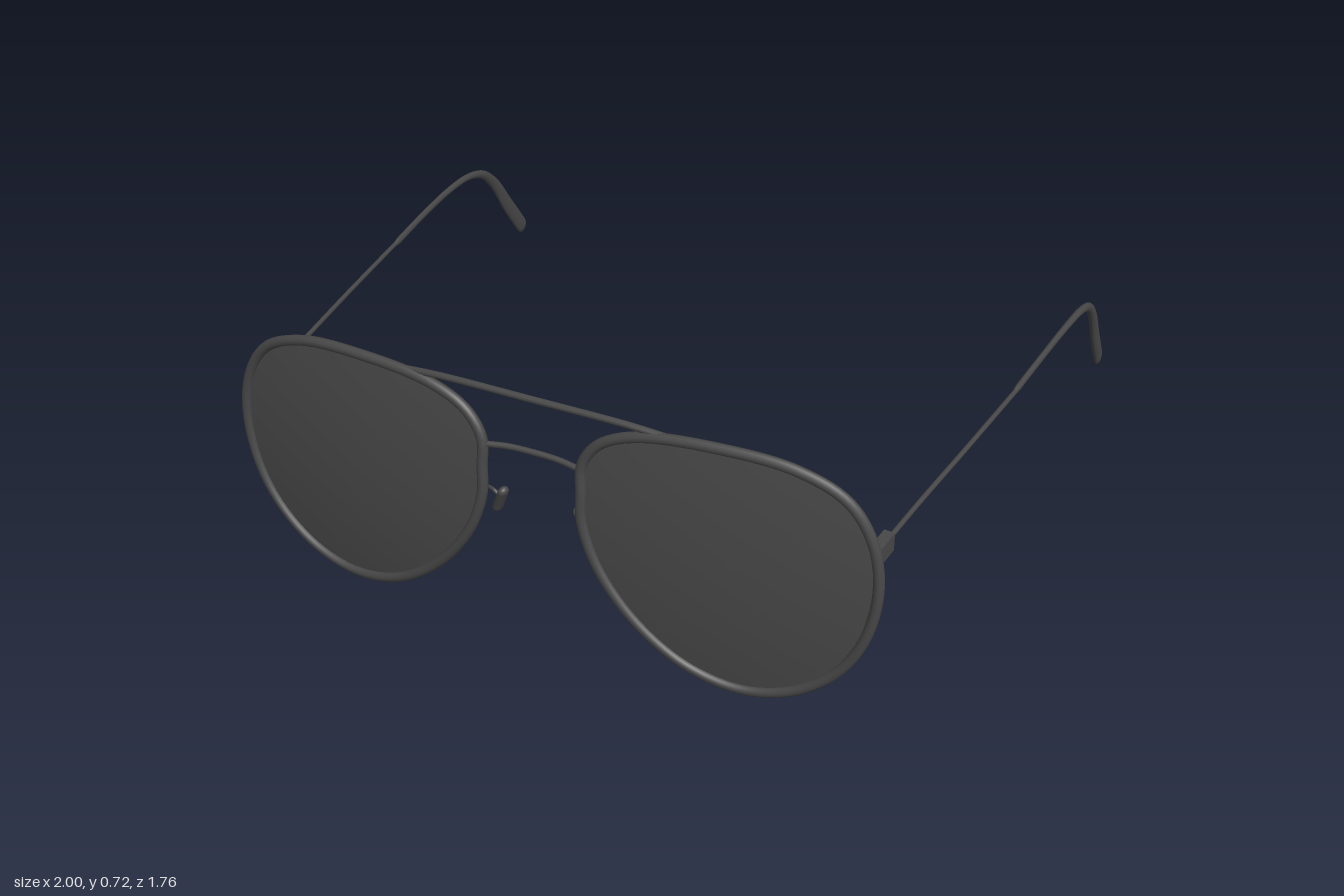
import * as THREE from 'three';

const V = (x, y, z) => new THREE.Vector3(x, y, z);
const frameMat = new THREE.MeshStandardMaterial({ color: 0x484848 });
const lensMat = new THREE.MeshStandardMaterial({ color: 0x484848, side: THREE.DoubleSide });

// Domed surface that the lenses and rims follow
const domeZ = (x, y) => 0.875 - 0.19 * (Math.abs(x) - 0.3) ** 2 - 0.2 * (y - 0.3) ** 2;

// Teardrop outline of one lens
const OUTLINE = [
  [0.136, 0.49], [0.137, 0.57], [0.18, 0.636], [0.278, 0.684], [0.49, 0.705], [0.67, 0.688],
  [0.79, 0.632], [0.853, 0.54], [0.878, 0.41], [0.854, 0.255], [0.791, 0.138], [0.685, 0.05],
  [0.555, 0.017], [0.415, 0.051], [0.283, 0.149], [0.182, 0.285], [0.138, 0.41],
];

function mesh(name, geometry, material = frameMat) {
  const m = new THREE.Mesh(geometry, material);
  m.name = name;
  return m;
}

function tube(name, points, radius, segments = 24, closed = false) {
  const curve = new THREE.CatmullRomCurve3(points, closed);
  return mesh(name, new THREE.TubeGeometry(curve, segments, radius, 10, closed));
}

// Lens sheet: concentric rings shrunk from the outline, lifted onto the dome
function lensGeometry(curve, s) {
  const rings = 10, sides = 72, cx = 0.52 * s, cy = 0.38;
  const pos = [], idx = [];
  for (let r = 0; r <= rings; r++) {
    for (let i = 0; i < sides; i++) {
      const p = curve.getPointAt(i / sides);
      const x = cx + (p.x - cx) * r / rings, y = cy + (p.y - cy) * r / rings;
      pos.push(x, y, domeZ(x, y));
      if (r === rings) continue;
      const a = r * sides + i, b = r * sides + (i + 1) % sides;
      if (s > 0) idx.push(a, b, b + sides, a, b + sides, a + sides);
      else idx.push(a, b + sides, b, a, a + sides, b + sides);
    }
  }
  const g = new THREE.BufferGeometry();
  g.setAttribute('position', new THREE.Float32BufferAttribute(pos, 3));
  g.setIndex(idx);
  g.computeVertexNormals();
  return g;
}

// Ear tip: a tube flattened sideways that widens toward its rounded end
function earTipGeometry(s) {
  const curve = new THREE.CatmullRomCurve3([
    V(0.943 * s, 0.475, -0.02), V(0.96 * s, 0.479, -0.2), V(0.977 * s, 0.476, -0.4),
    V(0.985 * s, 0.46, -0.53), V(0.988 * s, 0.425, -0.62), V(0.989 * s, 0.36, -0.69),
    V(0.989 * s, 0.25, -0.765), V(0.989 * s, 0.108, -0.868),
  ]);
  const n = 64, sides = 14;
  const g = new THREE.TubeGeometry(curve, n, 1, sides, false);
  const p = g.attributes.position;
  for (let i = 0; i <= n; i++) {
    const u = i / n, c = curve.getPointAt(u);
    const round = Math.sqrt(Math.max(0, 1 - Math.max(0, (u - 0.97) / 0.03) ** 2));
    const start = Math.min(1, 0.4 + u / 0.04);
    const wide = (0.01 + 0.016 * THREE.MathUtils.smoothstep(u, 0.45, 0.9)) * round * start;
    const thin = (0.008 + 0.003 * THREE.MathUtils.smoothstep(u, 0.2, 0.6)) * round * start;
    for (let j = 0; j <= sides; j++) {
      const k = i * (sides + 1) + j;
      p.setXYZ(k, c.x + (p.getX(k) - c.x) * thin,
        c.y + (p.getY(k) - c.y) * wide, c.z + (p.getZ(k) - c.z) * wide);
    }
  }
  g.computeVertexNormals();
  return g;
}

function createSide(s) {
  const side = new THREE.Group();
  side.name = s > 0 ? 'leftSide' : 'rightSide';

  // Lens and rim
  const outline = OUTLINE.map(([x, y]) => V(x * s, y, domeZ(x, y)));
  const curve = new THREE.CatmullRomCurve3(outline, true);
  side.add(mesh('lens', lensGeometry(curve, s), lensMat));
  side.add(tube('rim', outline, 0.014, 120, true));

  // Nose pad on a small curved arm
  const pad = mesh('nosePad', new THREE.CapsuleGeometry(0.016, 0.068, 6, 14));
  pad.scale.set(0.75, 1, 1);
  pad.rotation.set(0.1, 0.35 * s, 0.42 * s);
  pad.position.set(0.118 * s, 0.365, 0.815);
  side.add(pad);
  side.add(tube('padArm', [V(0.14 * s, 0.42, 0.86), V(0.148 * s, 0.405, 0.83),
    V(0.14 * s, 0.385, 0.812), V(0.12 * s, 0.37, 0.813)], 0.005, 16));

  // Hinge block behind the outer edge
  const hinge = mesh('hinge', new THREE.BoxGeometry(0.028, 0.05, 0.09));
  hinge.position.set(0.859 * s, 0.48, 0.755);
  hinge.rotation.y = -0.1 * s;
  side.add(hinge);

  // Wire temple and ear tip
  side.add(tube('temple', [V(0.858 * s, 0.48, 0.74), V(0.88 * s, 0.479, 0.53),
    V(0.91 * s, 0.478, 0.28), V(0.938 * s, 0.476, 0.03), V(0.948 * s, 0.475, -0.06)], 0.0065, 32));
  side.add(mesh('earTip', earTipGeometry(s)));
  return side;
}

export function createModel() {
  const model = new THREE.Group();
  model.name = 'sunglasses';
  model.add(createSide(1), createSide(-1));

  // Brow bar and bridge joining the two rims
  model.add(tube('browBar', [V(-0.36, 0.7, 0.838), V(-0.25, 0.709, 0.842), V(0, 0.711, 0.844),
    V(0.25, 0.709, 0.842), V(0.36, 0.7, 0.838)], 0.009, 40));
  model.add(tube('bridge', [V(-0.135, 0.552, 0.855), V(-0.07, 0.556, 0.845), V(0, 0.557, 0.843),
    V(0.07, 0.556, 0.845), V(0.135, 0.552, 0.855)], 0.008, 24));
  return model;
}
